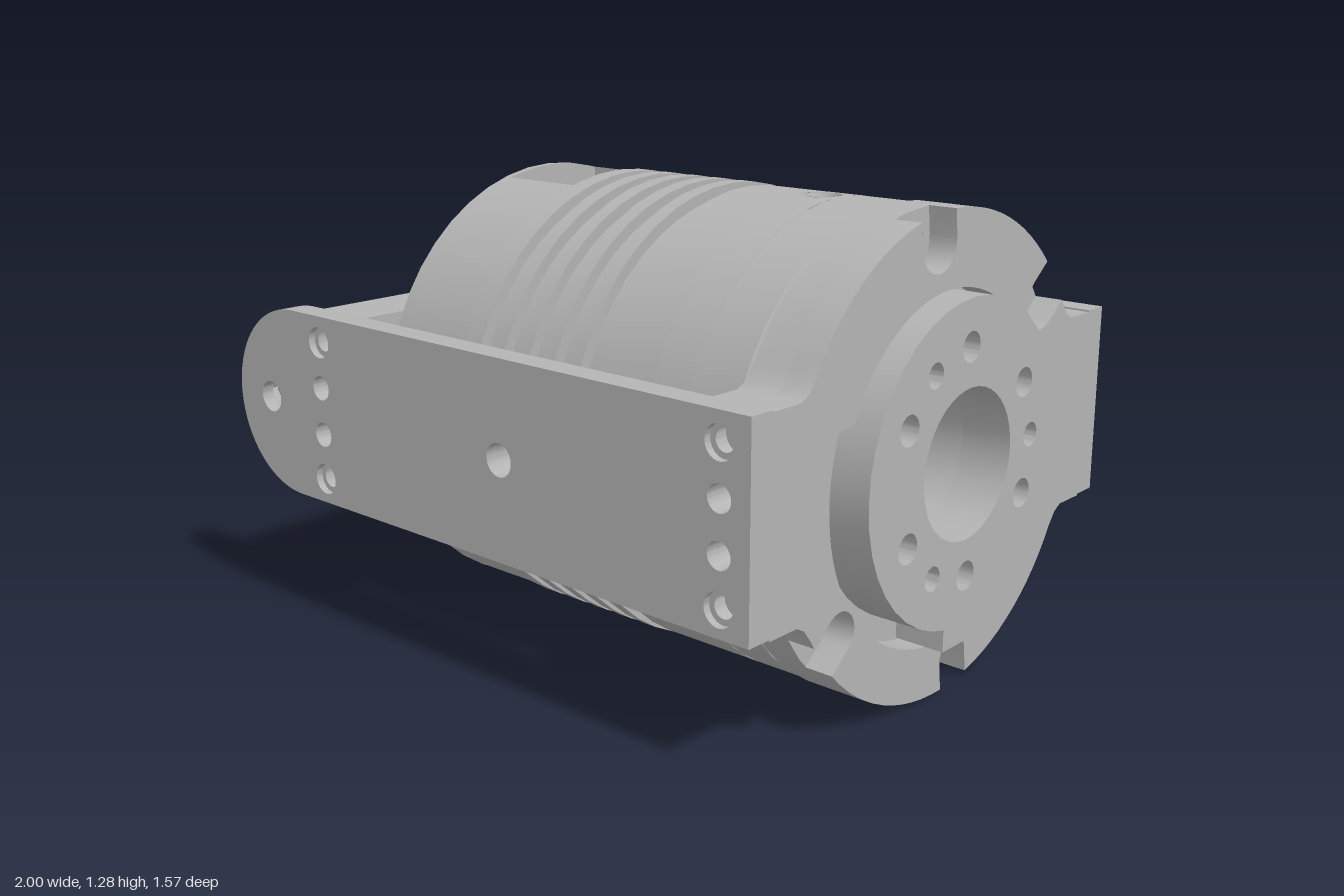
import * as THREE from 'three';
import { toCreasedNormals } from 'three/addons/utils/BufferGeometryUtils.js';

const AXIS = 0.64, R = 0.636, RAD = Math.PI / 180;

export function createModel() {
  const group = new THREE.Group();
  const grey = new THREE.MeshStandardMaterial({ color: 0xb4b4b4, side: THREE.DoubleSide });
  grey.name = 'machined grey';

  const add = (name, geo, x = 0, y = 0, z = 0) => {
    const mesh = new THREE.Mesh(geo, grey);
    mesh.name = name;
    mesh.position.set(x, y, z);
    group.add(mesh);
    return mesh;
  };
  const polygon = pts => new THREE.Shape(pts.map(p => new THREE.Vector2(p[0], p[1])));
  const circle = (x, y, r) => new THREE.Path().absarc(x, y, r, 0, Math.PI * 2, true);
  const extrude = (shape, depth) => toCreasedNormals(
    new THREE.ExtrudeGeometry(shape, { depth, bevelEnabled: false, curveSegments: 20 }), 0.5);
  // Extrusion along +x; shape coordinates are (-z, y - AXIS)
  const alongX = (name, shape, x0, x1) =>
    add(name, extrude(shape, x1 - x0).rotateY(Math.PI / 2), x0, AXIS, 0);
  // Turned part about the x axis; points are [x, radius]
  const turned = (name, pts, start = 0, length = Math.PI * 2) => {
    const geo = new THREE.LatheGeometry(pts.map(p => new THREE.Vector2(p[1], p[0])), 48, start, length);
    return add(name, toCreasedNormals(geo.rotateZ(-Math.PI / 2), 0.5), 0, AXIS, 0);
  };

  // ---- Motor body ----
  turned('rearCap', [[-0.51, 0], [-0.51, R - 0.012], [-0.498, R], [-0.475, R], [-0.475, 0]]);

  // Section with the connector pocket in its top
  const half = 0.175, open = Math.asin(half / R);
  const pocket = new THREE.Shape();
  pocket.moveTo(-half, 0.42);
  for (let i = 0; i <= 48; i++) {
    const a = Math.PI / 2 + open + (Math.PI * 2 - 2 * open) * i / 48;
    pocket.lineTo(R * Math.cos(a), R * Math.sin(a));
  }
  pocket.lineTo(half, 0.42);
  alongX('connectorSection', pocket, -0.475, -0.205);
  add('connectorDivider', new THREE.BoxGeometry(0.035, 0.15, 2 * half), -0.378, AXIS + 0.49, 0);

  // Cooling grooves
  const ribs = [[-0.205, 0], [-0.205, 0.641], [-0.147, 0.641]];
  for (let i = 0; i < 4; i++) {
    const x = -0.1 + i * 0.0935;
    ribs.push([x - 0.047, 0.61], [x, 0.61], [x, 0.641], [x + 0.047, 0.641]);
  }
  ribs.push([0.227, 0.61], [0.278, 0.61], [0.278, R], [0.47, R], [0.47, 0]);
  turned('ribbedSection', ribs);

  // Ring pierced by a radial hole from top to bottom
  const gap = Math.asin(0.06 / R);
  for (const side of [0, 1]) {
    turned('piercedRing', [[0.47, R], [0.59, R]], Math.PI * (side + 0.5) + gap, Math.PI - 2 * gap);
    const square = polygon([[-0.06, -0.06], [0.06, -0.06], [0.06, 0.06], [-0.06, 0.06]]);
    square.holes.push(circle(0, 0, 0.05));
    const patch = new THREE.ShapeGeometry(square, 16).rotateX(-Math.PI / 2);
    const p = patch.attributes.position;
    for (let i = 0; i < p.count; i++) p.setY(i, Math.sqrt(R * R - p.getZ(i) ** 2));
    patch.computeVertexNormals();
    add('radialHolePatch', patch.rotateX(side * Math.PI), 0.53, AXIS, 0);
    const sink = new THREE.CylinderGeometry(0.05, 0.032, 0.054, 24, 1, true).translate(0, 0.608, 0);
    add('radialHoleCountersink', sink.rotateX(side * Math.PI), 0.53, AXIS, 0);
  }
  add('radialHole', new THREE.CylinderGeometry(0.032, 0.032, 1.164, 24, 1, true), 0.53, AXIS, 0);
  turned('frontSection', [[0.59, 0], [0.59, R], [0.738, R], [0.742, 0.626], [0.75, 0.626],
    [0.75, 0.2], [0.6, 0.2], [0.6, 0]]);

  // ---- Front plate: a disc with two wings, repeated by a half turn ----
  const W = 0.71;
  const bolts = [[37.7, 0.556], [97.1, 0.564], [217.7, 0.556], [277.1, 0.564]];
  const plateOutline = slotted => {
    const pts = [];
    for (const turn of [0, 180]) {
      const w = turn ? 0.06 : 0.075;
      const put = (x, y) => pts.push(turn ? [-x, -y] : [x, y]);
      const arc = (a, b) => {
        for (let i = 0; i <= 12; i++) {
          const t = (a + (b - a) * i / 12) * RAD;
          put(0.64 * Math.cos(t), 0.64 * Math.sin(t));
        }
      };
      put(W, -0.27); put(W, 0.27); put(0.61, 0.27); put(0.582, 0.285);
      let from = 30;
      if (slotted) for (const [a, r] of bolts.slice(0, 2)) {
        const h = Math.asin(w / 0.64) / RAD;
        arc(from, a - h);
        for (let k = 0; k <= 10; k++) {
          const t = (a - 90 - k * 18) * RAD;
          put(r * Math.cos(a * RAD) + w * Math.cos(t), r * Math.sin(a * RAD) + w * Math.sin(t));
        }
        from = a + h;
      }
      arc(from, 150);
      put(-0.582, 0.285); put(-0.61, 0.27);
    }
    return polygon(pts);
  };
  const backing = plateOutline(false);
  backing.holes.push(circle(0, 0, 0.2));
  for (const [a, r] of bolts) {
    const x = r * Math.cos(a * RAD), y = r * Math.sin(a * RAD);
    backing.holes.push(circle(x, y, 0.045));
    add('boltSeat', new THREE.RingGeometry(0.028, 0.045, 24).rotateY(Math.PI / 2), 0.835, AXIS + y, -x);
  }
  alongX('frontPlateBacking', backing, 0.75, 0.855);

  // Slotted layer with a clearance around the sides and bottom of the boss
  const face = plateOutline(true);
  const clearance = [];
  for (let i = 0; i < 90; i++) {
    const a = i * 4, r = a > 22 && a < 158 ? 0.44 : 0.495;
    clearance.push([r * Math.cos(a * RAD), r * Math.sin(a * RAD)]);
  }
  face.holes.push(polygon(clearance));
  alongX('frontPlateFace', face, 0.855, 0.935);

  // ---- Output boss with bore and screw holes ----
  const boss = new THREE.Shape().absarc(0, 0, 0.43, 0, Math.PI * 2, false);
  boss.holes.push(circle(0, 0, 0.2));
  const screwHoles = [[0.01, 0.945, 0.04], [0.165, 0.9, 0.033], [0.27, 0.785, 0.04],
    [0.26, 0.485, 0.04], [0.145, 0.375, 0.033], [-0.01, 0.34, 0.04],
    [-0.27, 0.5, 0.04], [-0.3, 0.655, 0.033], [-0.255, 0.805, 0.04]];
  for (const [z, y, r] of screwHoles) boss.holes.push(circle(-z, y - AXIS, r));
  alongX('outputBoss', boss, 0.855, 1);
  add('bossKey', new THREE.BoxGeometry(0.143, 0.07, 0.18), 0.9275, 0.192, -0.01);

  // ---- Bracket ----
  const back = polygon([[-W, -0.27], [W, -0.27], [W, 0.27], [-W, 0.27]]);
  const slot = new THREE.Path();
  for (const [x, y, a] of [[0.35, 0.065, 0], [-0.35, 0.065, 90], [-0.35, -0.065, 180], [0.35, -0.065, 270]])
    slot.absarc(x, y, 0.1, a * RAD, (a + 90) * RAD, false);
  back.holes.push(slot, circle(-0.59, 0, 0.035), circle(0.59, 0, 0.035));
  alongX('bracketBack', back, -0.7, -0.51);

  const addHoles = shape => {
    shape.holes.push(circle(0.12, 0.65, 0.045));
    for (const x of [-0.61, 0.845]) for (const [y, r] of [[0.84, 0.044], [0.71, 0.035], [0.575, 0.035], [0.445, 0.044]])
      shape.holes.push(circle(x, y, r));
    return shape;
  };
  const rearArm = addHoles(polygon([[-0.7, 0.375], [0.935, 0.375], [0.935, 0.915], [-0.7, 0.915]]));
  add('rearArm', extrude(rearArm, 0.075), 0, 0, -0.785);

  // Front arm ends in a round lug, its hole widening to a hex nut seat inside
  const frontArm = hole => {
    const s = new THREE.Shape().moveTo(0.935, 0.375).lineTo(0.935, 0.915).lineTo(-0.73, 0.915);
    s.absarc(-0.73, 0.645, 0.27, Math.PI / 2, Math.PI * 1.5, false);
    s.holes.push(hole);
    return addHoles(s);
  };
  const hex = [0, 1, 2, 3, 4, 5].map(i =>
    [-0.85 + 0.08 * Math.cos(i * 60 * RAD), 0.645 + 0.08 * Math.sin(i * 60 * RAD)]);
  add('frontArmOuter', extrude(frontArm(circle(-0.85, 0.645, 0.045)), 0.035), 0, 0, 0.75);
  add('frontArmInner', extrude(frontArm(polygon(hex)), 0.04), 0, 0, 0.71);

  // Stepped seats in the larger arm holes
  for (const x of [-0.61, 0.845]) for (const y of [0.445, 0.84]) for (const s of [1, -1]) {
    const seat = new THREE.RingGeometry(0.028, 0.044, 24).rotateY(s > 0 ? 0 : Math.PI);
    add('armHoleSeat', seat, x, y, s * 0.765);
  }
  return group;
}
